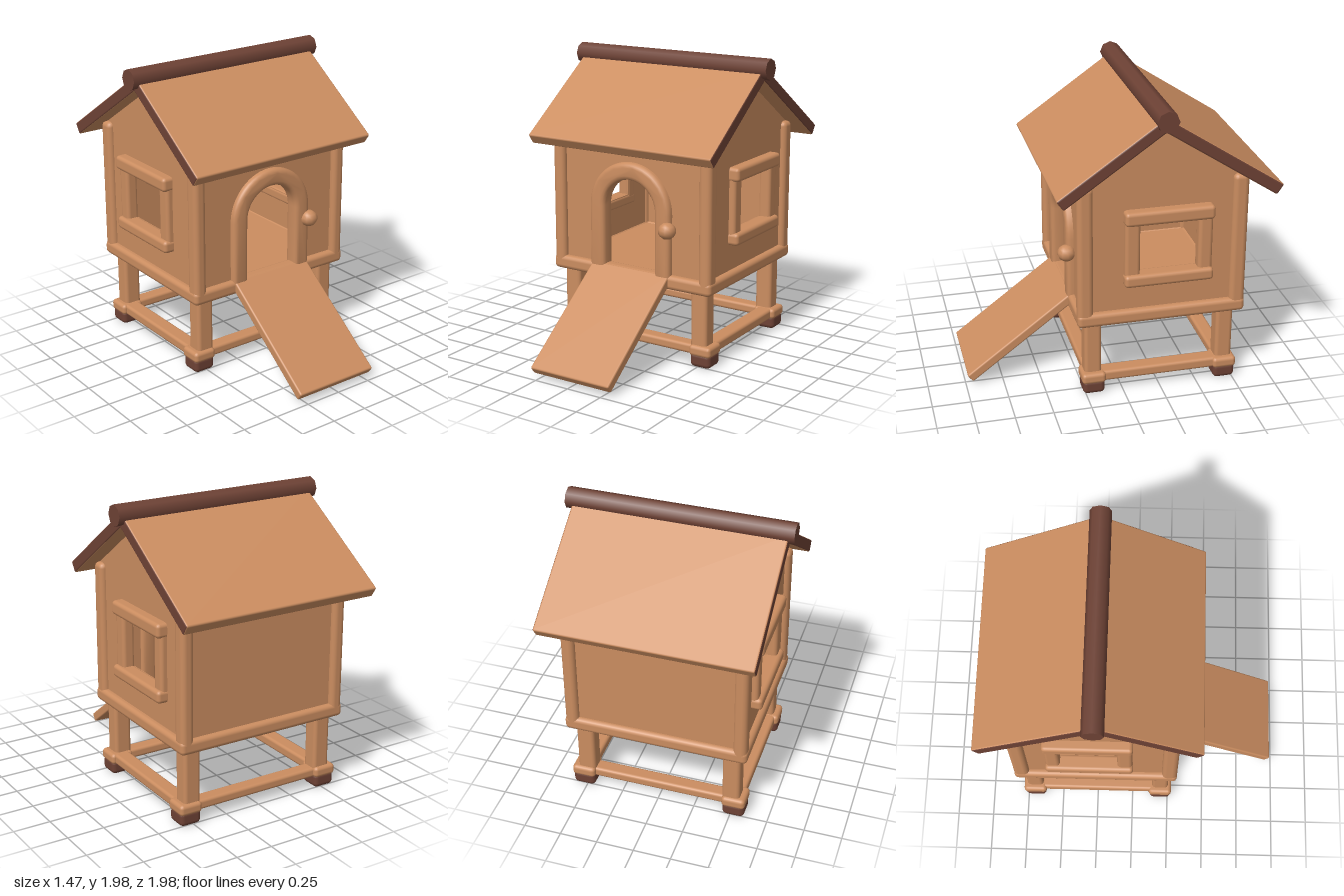
import * as THREE from 'three';
import { RoundedBoxGeometry } from 'three/addons/geometries/RoundedBoxGeometry.js';
import { toCreasedNormals } from 'three/addons/utils/BufferGeometryUtils.js';

export function createModel() {
  const wood = new THREE.MeshStandardMaterial({ color: 0xcb8d60 });
  wood.name = 'tan wood';
  const dark = new THREE.MeshStandardMaterial({ color: 0x6e4235 });
  dark.name = 'dark brown wood';

  const model = new THREE.Group();
  model.name = 'coop';
  const add = (name, geometry, material = wood) => {
    const mesh = new THREE.Mesh(geometry, material);
    mesh.name = name;
    model.add(mesh);
    return mesh;
  };
  // Soft-edged beam given by its extents on each axis
  const beam = (name, [x0, x1], [y0, y1], [z0, z1], r = 0.02, material = wood) => {
    const mesh = add(name, new RoundedBoxGeometry(x1 - x0, y1 - y0, z1 - z0, 2, r), material);
    mesh.position.set((x0 + x1) / 2, (y0 + y1) / 2, (z0 + z1) / 2);
    return mesh;
  };
  // Sloping board between two (z, y) points, measured along its middle
  const board = (name, [z0, y0], [z1, y1], width, thick, material) => {
    const length = Math.hypot(z1 - z0, y1 - y0);
    const mesh = add(name, new RoundedBoxGeometry(width, thick, length, 2, 0.012), material);
    mesh.position.set(0, (y0 + y1) / 2, (z0 + z1) / 2);
    mesh.rotation.x = -Math.atan2(y1 - y0, z1 - z0);
    return mesh;
  };
  const polygon = (points) => new THREE.Shape(points.map(([x, y]) => new THREE.Vector2(x, y)));
  // Arched opening outline: straight sides with a half circle on top
  const arch = (path, r, y0, yc) => {
    path.moveTo(-r, y0);
    path.lineTo(r, y0);
    path.lineTo(r, yc);
    path.absarc(0, yc, r, 0, Math.PI, false);
    path.lineTo(-r, y0);
    return path;
  };

  // Stand: legs, feet, corner blocks and corner posts
  const legZ = [0.195, -0.695];
  for (const s of [-1, 1]) {
    const spanX = (a, b) => (s > 0 ? [a, b] : [-b, -a]);
    for (const z of legZ) {
      beam('leg', spanX(0.44, 0.56), [0.1, 0.54], [z - 0.057, z + 0.057], 0.025);
      beam('foot', spanX(0.445, 0.595), [0, 0.1], [z - 0.073, z + 0.073], 0.03, dark);
      beam('cornerBlock', spanX(0.44, 0.6), [0.075, 0.15], [z - 0.08, z + 0.08], 0.025);
    }
    beam('sideRail', spanX(0.465, 0.575), [0.075, 0.148], [-0.7, 0.2]);
    for (const [z0, z1] of [[0.2, 0.305], [-0.81, -0.705]]) {
      beam('cornerPost', spanX(0.52, 0.61), [0.52, 1.475], [z0, z1], 0.035);
    }
    beam('sideSill', spanX(0.52, 0.615), [0.505, 0.6], [-0.81, 0.305], 0.03);
  }
  for (const z of legZ) {
    beam('crossRail', [-0.52, 0.52], [0.075, 0.142], [z - 0.05, z + 0.05]);
  }
  beam('frontSill', [-0.61, 0.61], [0.505, 0.6], [0.21, 0.305], 0.03);
  beam('backSill', [-0.61, 0.61], [0.505, 0.6], [-0.81, -0.715], 0.03);
  beam('floor', [-0.57, 0.57], [0.515, 0.59], [-0.76, 0.26], 0.01);

  // Front wall with arched doorway
  const front = polygon([[-0.56, 0.53], [0.56, 0.53], [0.56, 1.49], [-0.56, 1.49]]);
  front.holes.push(arch(new THREE.Path(), 0.2, 0.57, 1.0));
  add('frontWall', new THREE.ExtrudeGeometry(front, { depth: 0.04, bevelEnabled: false }))
    .position.z = 0.225;
  beam('backWall', [-0.56, 0.56], [0.53, 1.49], [-0.775, -0.735], 0.005);

  // Gable walls with window openings, drawn in (-z, y)
  const gable = polygon([[-0.265, 0.53], [0.77, 0.53], [0.77, 1.51], [0.23, 1.865], [-0.265, 1.51]]);
  gable.holes.push(new THREE.Path(
    [[0.095, 0.855], [0.095, 1.205], [0.485, 1.205], [0.485, 0.855]]
      .map(([x, y]) => new THREE.Vector2(x, y))));
  const gableGeometry = new THREE.ExtrudeGeometry(gable, { depth: 0.04, bevelEnabled: false })
    .rotateY(Math.PI / 2);
  for (const s of [-1, 1]) {
    add('gableWall', gableGeometry).position.x = s > 0 ? 0.535 : -0.575;
    // Window frame
    const deep = s > 0 ? [0.53, 0.645] : [-0.645, -0.53];
    const shallow = s > 0 ? [0.53, 0.618] : [-0.618, -0.53];
    beam('windowFrameTop', deep, [1.2, 1.295], [-0.58, 0.005], 0.025);
    beam('windowFrameBottom', deep, [0.775, 0.86], [-0.58, 0.005], 0.025);
    beam('windowFrameSide', shallow, [0.82, 1.25], [-0.1, 0], 0.025);
    beam('windowFrameSide', shallow, [0.82, 1.25], [-0.575, -0.48], 0.025);
  }

  // Rounded door frame
  const b = 0.03;
  const frame = new THREE.Shape();
  frame.moveTo(0.31 - b, 0.59);
  frame.lineTo(0.31 - b, 1.0);
  frame.absarc(0, 1.0, 0.31 - b, 0, Math.PI, false);
  frame.lineTo(-0.31 + b, 0.59);
  frame.lineTo(-0.195 - b, 0.59);
  frame.lineTo(-0.195 - b, 1.0);
  frame.absarc(0, 1.0, 0.195 + b, Math.PI, 0, true);
  frame.lineTo(0.195 + b, 0.59);
  const frameGeometry = new THREE.ExtrudeGeometry(frame, {
    depth: 0.05, bevelSize: b, bevelThickness: b, bevelSegments: 3, curveSegments: 12,
  });
  add('doorFrame', toCreasedNormals(frameGeometry, 0.7)).position.z = 0.23;

  // Door knob
  const knob = add('doorKnob', new THREE.SphereGeometry(0.06, 10, 7));
  knob.scale.y = 0.92;
  knob.position.set(0.3, 0.905, 0.312);

  // Entry ramp
  board('ramp', [0.27, 0.577], [0.972, 0.048], 0.6, 0.062, wood);

  // Roof boards with dark gable ends, and ridge log
  const roofMaterials = [dark, dark, wood, wood, wood, wood];
  board('frontRoof', [-0.23, 1.875], [0.43, 1.412], 1.39, 0.08, roofMaterials);
  board('backRoof', [-0.98, 1.385], [-0.23, 1.875], 1.39, 0.08, roofMaterials);
  const ridge = add('ridgeLog', new THREE.CylinderGeometry(0.07, 0.07, 1.47, 8), dark);
  ridge.rotation.z = Math.PI / 2;
  ridge.position.set(0, 1.908, -0.23);

  return model;
}
